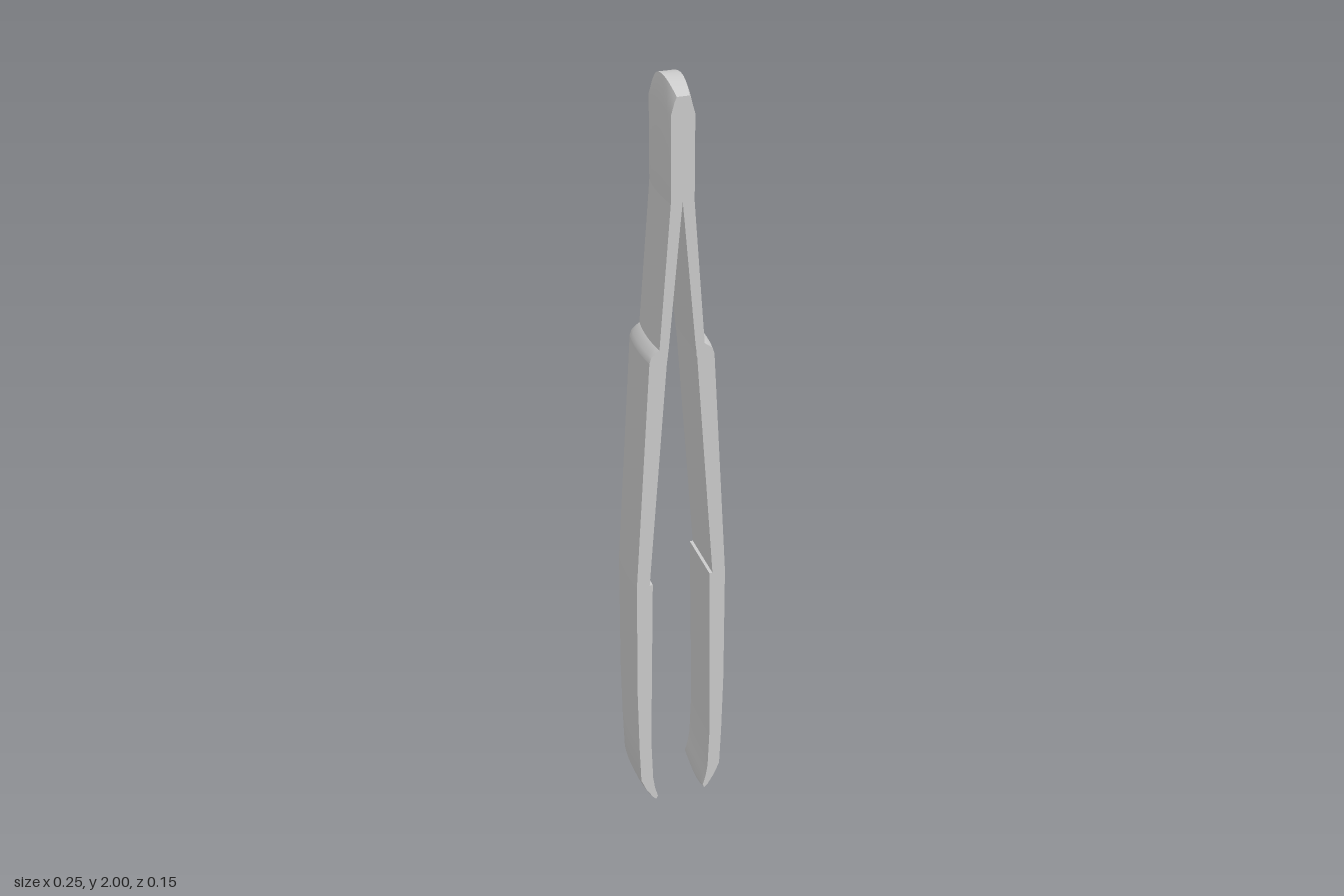
import * as THREE from 'three';
import { toCreasedNormals } from 'three/addons/utils/BufferGeometryUtils.js';

const HALF_DEPTH = 0.073;
const BULGE = 0.006; // how far the outer faces bow out at mid depth
const STEPS = 8;     // samples across the depth

// Skins a bar through stations [y, innerX, outerX, dip], listed from top to bottom.
// dip lowers the front and back edges of a station to round the bar's ends.
function loft(stations, innerBulge = 0) {
  const n = (STEPS + 1) * 2;
  const pos = [], index = [];
  for (const [y, inner, outer, dip = 0] of stations) {
    for (let j = 0; j < n; j++) {
      const onOuter = j <= STEPS;
      const t = ((onOuter ? j : n - 1 - j) / STEPS) * 2 - 1;
      const x = onOuter ? outer - BULGE * t * t : inner + innerBulge * t * t;
      pos.push(x, y - dip * t * t, t * HALF_DEPTH);
    }
  }
  for (let i = 0; i < stations.length - 1; i++) {
    for (let j = 0; j < n; j++) {
      const a = i * n + j, b = i * n + (j + 1) % n;
      index.push(a, b, a + n, b, b + n, a + n);
    }
  }
  // end caps
  const last = (stations.length - 1) * n;
  for (let j = 0; j < STEPS; j++) {
    const k = n - 1 - j;
    index.push(j, k, j + 1, j + 1, k, k - 1);
    index.push(last + j, last + j + 1, last + k, last + j + 1, last + k - 1, last + k);
  }
  const g = new THREE.BufferGeometry();
  g.setAttribute('position', new THREE.Float32BufferAttribute(pos, 3));
  g.setIndex(index);
  return toCreasedNormals(g, 0.6);
}

export function createModel() {
  const group = new THREE.Group();
  const material = new THREE.MeshStandardMaterial({ color: 0xcccccc });
  const add = (parent, name, geometry) => {
    const mesh = new THREE.Mesh(geometry, material);
    mesh.name = name;
    parent.add(mesh);
  };

  // joined head with a rounded top
  add(group, 'head', loft([
    [2.0, -0.02, 0.02, 0.025],
    [1.985, -0.025, 0.025, 0.022],
    [1.945, -0.033, 0.033, 0.01],
    [1.74, -0.033, 0.033],
  ], BULGE));

  // thin spring leaf, stepping out at a shoulder into the grip
  const spring = loft([
    [1.74, 0, 0.033],
    [1.7, 0.004, 0.036],
    [1.39, 0.032, 0.06],
    [1.375, 0.034, 0.079],
    [1.36, 0.035, 0.084],
  ]);
  const grip = loft([
    [1.36, 0.036, 0.084],
    [0.74, 0.082, 0.121],
  ]);
  // lower jaw with an inner step and an inward-turned tip
  const jaw = loft([
    [0.74, 0.074, 0.121],
    [0.4, 0.079, 0.123],
    [0.22, 0.081, 0.12],
    [0.1, 0.077, 0.116],
    [0.06, 0.072, 0.102, -0.004],
    [0.02, 0.064, 0.084, -0.012],
    [0.003, 0.068, 0.076, -0.02],
  ]);

  for (const side of ['left', 'right']) {
    const arm = new THREE.Group();
    arm.name = side + 'Arm';
    add(arm, side + 'SpringLeaf', spring);
    add(arm, side + 'Grip', grip);
    add(arm, side + 'Jaw', jaw);
    if (side === 'right') arm.rotation.y = Math.PI;
    group.add(arm);
  }
  return group;
}
